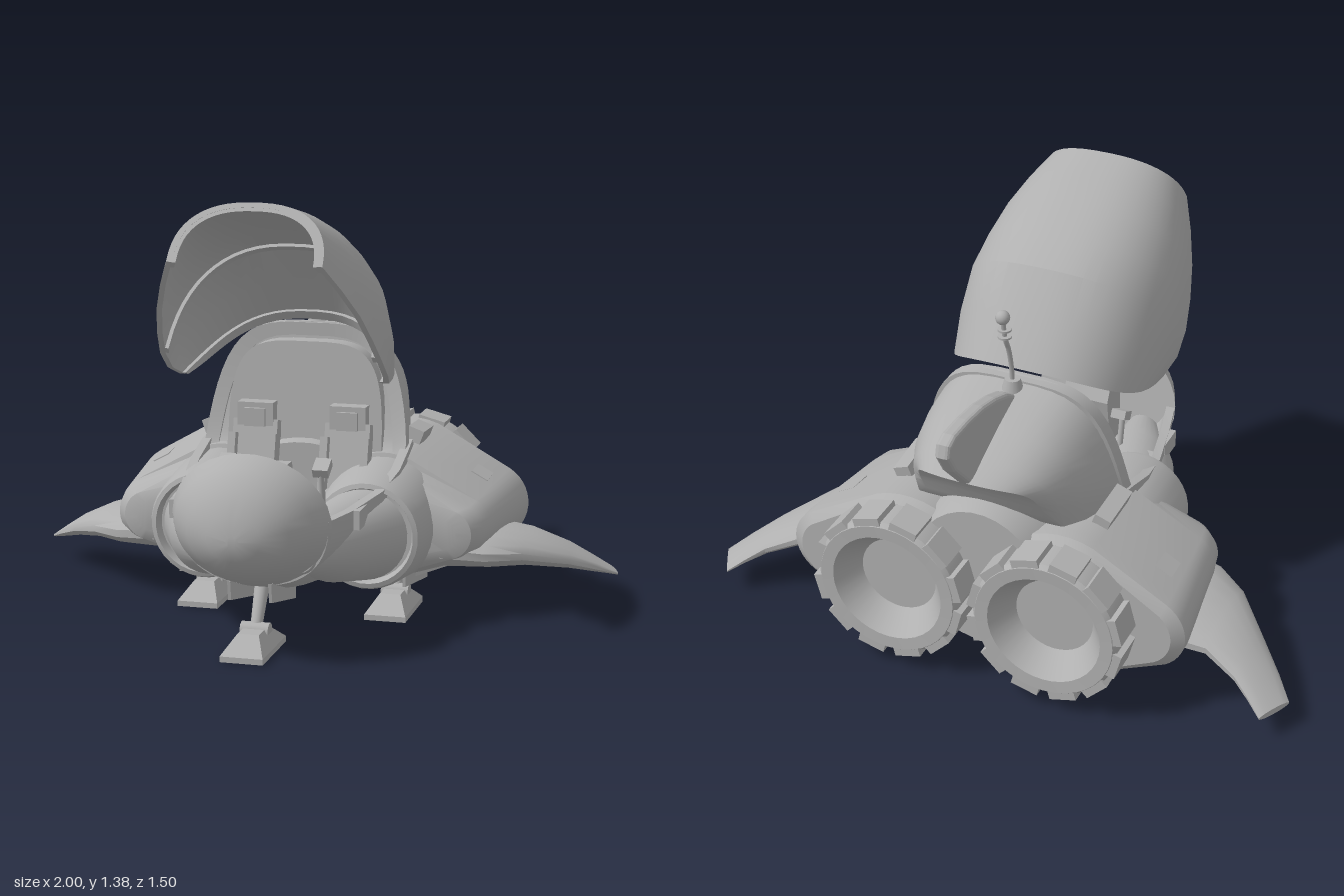
import * as THREE from 'three';
import { toCreasedNormals } from 'three/addons/utils/BufferGeometryUtils.js';

const V = (x, y, z) => new THREE.Vector3(x, y, z);
const lerp = THREE.MathUtils.lerp;
const pow = (v, e) => Math.sign(v) * Math.abs(v) ** e;

// Skin closed loops of points; end caps join point i with its mirror point
function loft(loops, crease = 0.6) {
  const n = loops[0].length, pos = [], idx = [];
  loops.forEach(l => l.forEach(p => pos.push(p.x, p.y, p.z)));
  for (let s = 0; s < loops.length - 1; s++) {
    for (let i = 0; i < n; i++) {
      const a = s * n + i, b = s * n + (i + 1) % n;
      idx.push(a, b, a + n, b, b + n, a + n);
    }
  }
  const last = (loops.length - 1) * n;
  for (let i = 0; i < n / 2 - 1; i++) {
    const j = n - 1 - i;
    idx.push(i, j, i + 1, i + 1, j, j - 1);
    idx.push(last + i, last + i + 1, last + j, last + i + 1, last + j - 1, last + j);
  }
  const g = new THREE.BufferGeometry();
  g.setAttribute('position', new THREE.Float32BufferAttribute(pos, 3));
  g.setIndex(idx);
  return toCreasedNormals(g, crease);
}

// Half-oval from rim to crown and back, sagging by bow; rim and crown are [z, y]
function arch(rim, crown, w, e, bow = 0, n = 28) {
  return Array.from({ length: n }, (_, i) => {
    const t = Math.PI * i / (n - 1), f = pow(Math.max(0, Math.sin(t)), e);
    return V(w * pow(Math.cos(t), e), lerp(rim[1], crown[1], f) - bow * Math.sin(Math.PI * f),
      lerp(rim[0], crown[0], f));
  });
}

// Arch with wall thickness; inner crown is given as [z, y]
const thickArch = (rim, crown, w, inner, e, t, bow = 0) =>
  [...arch(rim, crown, w, e, bow), ...arch(rim, inner, w - t, e, bow).reverse()];

// Oval ring facing z
function ring(cx, cy, z, rx, ry = rx, n = 32) {
  return Array.from({ length: n }, (_, i) => {
    const t = 2 * Math.PI * (i + 0.5) / n;
    return V(cx + rx * Math.cos(t), cy + ry * Math.sin(t), z);
  });
}

// Egg ring wrapped round a big inner circle and a small outer one, on side s
function eggRing(s, z, ra, xb, rb, n = 40) {
  const xa = 0.27, ya = 0.3, yb = 0.285;
  return Array.from({ length: n }, (_, i) => {
    const t = 2 * Math.PI * (i + 0.5) / n, c = Math.cos(t), k = Math.sin(t);
    const outer = (xb - xa) * c + (yb - ya) * k + rb > ra;
    return outer ? V(s * (xb + rb * c), yb + rb * k, z) : V(s * (xa + ra * c), ya + ra * k, z);
  });
}

// Side outline of [z, y] points given thickness along x
function sidePlate(pts, depth, bevel = 0) {
  const shape = new THREE.Shape(pts.map(p => new THREE.Vector2(p[0], p[1])));
  const g = new THREE.ExtrudeGeometry(shape, {
    depth, bevelEnabled: bevel > 0, bevelSize: bevel, bevelThickness: bevel, bevelSegments: 3
  });
  g.translate(0, 0, -depth / 2);
  return g.rotateY(-Math.PI / 2);
}

function rod(a, b, r1, r2 = r1) {
  const d = b.clone().sub(a), g = new THREE.CylinderGeometry(r2, r1, d.length(), 14);
  g.applyQuaternion(new THREE.Quaternion().setFromUnitVectors(V(0, 1, 0), d.normalize()));
  const m = a.clone().add(b).multiplyScalar(0.5);
  return g.translate(m.x, m.y, m.z);
}

const box = (w, h, d, x, y, z, rx = 0, rz = 0) =>
  new THREE.BoxGeometry(w, h, d).rotateX(rx).rotateZ(rz).translate(x, y, z);

export function createModel() {
  const model = new THREE.Group();
  model.name = 'spaceship';
  const grey = new THREE.MeshStandardMaterial({ color: 0xb0b0b0, side: THREE.DoubleSide });
  grey.name = 'hull grey';
  const add = (name, geo, parent = model) => {
    const m = new THREE.Mesh(geo, grey);
    m.name = name;
    parent.add(m);
  };

  // Nose: slanted rings [zTop, yTop, zBottom, yBottom, half width]
  add('nose', loft([
    [0.75, 0.415, 0.75, 0.385, 0.02], [0.738, 0.475, 0.735, 0.335, 0.085],
    [0.705, 0.55, 0.685, 0.28, 0.16], [0.65, 0.605, 0.6, 0.235, 0.218],
    [0.59, 0.635, 0.49, 0.197, 0.252]
  ].map(([zt, yt, zb, yb, w]) => ring(0, 0, 0, 1, 1).map(p =>
    V(p.x * w, lerp(yb, yt, (p.y + 1) / 2), lerp(zb, zt, (p.y + 1) / 2))))));

  // Open cockpit tub: [zRim, yRim, zKeel, yKeel, half width]
  add('cockpitTub', loft([
    [0.56, 0.432, 0.515, 0.208, 0.245], [0.4, 0.434, 0.4, 0.17, 0.285], [0.2, 0.452, 0.2, 0.142, 0.33],
    [0.05, 0.49, 0.05, 0.13, 0.35], [-0.08, 0.53, -0.08, 0.12, 0.35], [-0.2, 0.55, -0.2, 0.11, 0.34]
  ].map(([zr, yr, zk, yk, w]) => thickArch([zr, yr], [zk, yk], w, [zk, 0.31], 0.85, 0.03))));

  // Central body between the engines
  add('centreBody', loft([
    ring(0, 0.34, -0.05, 0.27, 0.2), ring(0, 0.35, -0.25, 0.28, 0.26),
    ring(0, 0.35, -0.44, 0.25, 0.27), ring(0, 0.35, -0.51, 0.22, 0.245)]));

  // Rear hump with overhanging tail: [zRim, yRim, zCrown, yCrown, half width, sag, squareness]
  add('rearHump', loft([
    [-0.05, 0.49, -0.185, 0.92, 0.335, 0.125, 0.55], [-0.19, 0.5, -0.3, 0.89, 0.325, 0.07, 0.58],
    [-0.33, 0.52, -0.41, 0.855, 0.293, 0.02, 0.62], [-0.41, 0.55, -0.52, 0.81, 0.25, -0.01, 0.68],
    [-0.45, 0.6, -0.605, 0.77, 0.205, -0.03, 0.8]
  ].map(([zr, yr, zc, yc, w, sag, e]) => arch([zr, yr], [zc, yc], w, e, sag))));
  add('bulkhead', loft([[-0.07, -0.11], [-0.18, -0.2]].map(([a, b]) =>
    arch([a, 0.45], [b, 0.865], 0.26, 0.5))));
  add('cockpitArch', loft([-0.025, -0.075].map(z =>
    thickArch([z, 0.46], [z - 0.145, 0.918], 0.342, [z - 0.145, 0.875], 0.52, 0.045, 0.115))));
  add('tailFin', sidePlate([[-0.27, 0.885], [-0.33, 0.92], [-0.41, 0.95], [-0.5, 0.972], [-0.6, 0.983],
    [-0.69, 0.984], [-0.722, 0.972], [-0.73, 0.945], [-0.69, 0.88], [-0.6, 0.785], [-0.4, 0.8]], 0.022, 0.014));

  // Raised canopy: [zRim, yRim, zCrown, yCrown, half width, sag]
  const canopy = new THREE.Group();
  canopy.name = 'canopy';
  model.add(canopy);
  const hoops = [
    [0.615, 1.21, 0.49, 1.38, 0.24, 0], [0.545, 1.13, 0.37, 1.355, 0.283, 0], [0.47, 1.045, 0.25, 1.318, 0.32, 0],
    [0.4, 0.96, 0.12, 1.265, 0.343, 0], [0.33, 0.883, 0, 1.2, 0.357, 0],
    [0.255, 0.825, -0.1, 1.07, 0.358, 0.015], [0.18, 0.792, -0.192, 0.94, 0.342, 0.04]];
  const inward = (zr, yr, zc, yc, t) => {
    const d = Math.hypot(zc - zr, yc - yr);
    return [lerp(zc, zr, t / d), lerp(yc, yr, t / d)];
  };
  const hoop = ([zr, yr, zc, yc, w, sag], gap, wall) => thickArch([zr, yr],
    inward(zr, yr, zc, yc, gap), w - gap, inward(zr, yr, zc, yc, gap + wall), 0.82, wall, sag);
  add('canopyShell', loft(hoops.map(h => hoop(h, 0, 0.018)), 0.4), canopy);
  // Inner ribs at the front, middle and rear, each spanning part of a shell segment
  [[0, 1], [4, 3], [6, 5]].forEach(([from, to]) => {
    const part = f => hoops[from].map((v, i) => lerp(v, hoops[to][i], f));
    add('canopyRib', loft([part(0.02), part(0.24)].map(h => hoop(h, 0.012, 0.018))), canopy);
  });

  // Antenna
  const mast = new THREE.CatmullRomCurve3([V(0, 0.9, -0.24), V(0, 0.98, -0.248), V(0, 1.06, -0.27),
    V(0, 1.1, -0.29), V(0, 1.18, -0.308)]);
  add('antennaMast', new THREE.TubeGeometry(mast, 16, 0.008, 8));
  add('antennaBase', new THREE.CylinderGeometry(0.025, 0.038, 0.05, 16).translate(0, 0.91, -0.24));
  add('antennaBall', new THREE.SphereGeometry(0.023, 16, 12).translate(0, 1.188, -0.308));
  [1.115, 1.14].forEach(y => add('antennaDisc',
    new THREE.CylinderGeometry(0.022, 0.022, 0.006, 16).translate(0, y, -0.295)));

  // Dashboard in front of the seats
  add('dashboard', sidePlate([[0.47, 0.32], [0.46, 0.53], [0.43, 0.57], [0.37, 0.57], [0.345, 0.52],
    [0.38, 0.32]], 0.16));

  const landingFoot = (x, z) => {
    const pad = (y, w, d) => [V(x - w, y, z - d), V(x - w, y, z + d), V(x + w, y, z + d), V(x + w, y, z - d)];
    add('landingPad', loft([pad(0, 0.068, 0.132), pad(0.018, 0.068, 0.132), pad(0.07, 0.034, 0.055)], 0.1));
    add('ankle', rod(V(x - 0.045, 0.058, z - 0.03), V(x + 0.045, 0.058, z - 0.03), 0.028));
    add('landingLeg', rod(V(x, 0.06, z - 0.03), V(x, 0.2, z - 0.11), 0.018, 0.024));
  };
  landingFoot(0, 0.528);

  for (const s of [1, -1]) {
    const side = new THREE.Group();
    side.name = s > 0 ? 'leftSide' : 'rightSide';
    model.add(side);
    const put = (name, geo) => add(name, geo, side);
    const ex = s * 0.27, ey = 0.3;

    // Intake fairing, cowl and the casing that joins engine and wing root
    put('intakeFairing', loft([ring(s * 0.14, 0.32, 0.54, 0.06), ring(s * 0.2, 0.31, 0.36, 0.12),
      ring(ex - s * 0.015, ey, 0.17, 0.148)]));
    put('cowl', loft([[0.16, 0.145], [0.19, 0.155], [0.185, 0.17], [0.165, 0.178], [-0.06, 0.205],
      [-0.1, 0.205]].map(([z, r]) => ring(ex, ey, z, r))));
    // [z, engine radius, outer centre x, outer radius]
    put('engineCasing', loft([[0.055, 0.08, 0.485, 0.05], [0.042, 0.13, 0.5, 0.082], [0, 0.18, 0.515, 0.1],
      [-0.06, 0.2, 0.52, 0.108], [-0.066, 0.218, 0.521, 0.109], [-0.42, 0.257, 0.545, 0.135],
      [-0.465, 0.26, 0.545, 0.135], [-0.492, 0.238, 0.53, 0.112]
    ].map(([z, ra, xb, rb]) => eggRing(s, z, ra, xb, rb))));

    // Exhaust ring with recessed nozzle and blocks
    const nozzle = [[0, -0.53], [0.13, -0.53], [0.19, -0.618], [0.232, -0.62], [0.244, -0.605],
      [0.244, -0.5], [0.2, -0.47]].map(p => new THREE.Vector2(...p));
    put('exhaust', toCreasedNormals(new THREE.LatheGeometry(nozzle, 36)
      .rotateX(Math.PI / 2).translate(ex, ey, 0), 0.5));
    for (let i = 0; i < 12; i++) {
      const a = Math.PI * (i + 0.5) / 6;
      put('exhaustBlock', new THREE.BoxGeometry(0.04, 0.092, 0.115).translate(0.238, 0, 0)
        .rotateZ(a).translate(ex, ey, -0.5605));
    }

    // Drooping wing: [xFront, xBack, zFront, zBack, y, half thickness]
    put('wing', loft([
      [0.48, 0.48, 0.05, -0.4, 0.22, 0.075], [0.62, 0.62, 0.025, -0.4, 0.21, 0.062],
      [0.73, 0.72, -0.06, -0.39, 0.2, 0.052], [0.86, 0.83, -0.215, -0.425, 0.153, 0.037],
      [0.94, 0.89, -0.305, -0.46, 0.115, 0.024], [1, 0.94, -0.38, -0.495, 0.082, 0.011]
    ].map(([xf, xb, zf, zb, y, t]) => ring(0, 0, 0, 1, 1, 16).map(p => {
      const f = (1 - p.x) / 2;
      return V(s * lerp(xf, xb, f), y + t * p.y, lerp(zf, zb, f));
    })), 0.8));

    // Raised panels
    put('topPanel', box(0.055, 0.045, 0.17, s * 0.345, 0.553, -0.255, -0.07, -s * 0.35));
    put('podPanel', box(0.06, 0.025, 0.09, s * 0.548, 0.41, -0.295, 0.08, -s * 0.5));
    put('hullPanel', box(0.02, 0.06, 0.1, s * 0.296, 0.405, 0.36));

    // Seat, control stick
    put('seatBase', box(0.16, 0.07, 0.18, s * 0.155, 0.37, 0.07));
    put('seatBack', box(0.15, 0.26, 0.05, s * 0.155, 0.48, -0.035, -0.25));
    put('headrest', box(0.12, 0.085, 0.055, s * 0.155, 0.625, -0.065));
    put('headrestPad', box(0.07, 0.06, 0.02, s * 0.155, 0.62, -0.035));
    [-1, 1].forEach(k => put('seatBolster', box(0.025, 0.22, 0.06, s * 0.155 + k * 0.068, 0.46, 0.0, -0.25)));
    put('controlStick', rod(V(s * 0.155, 0.32, 0.26), V(s * 0.155, 0.53, 0.3), 0.01));
    put('stickGrip', box(0.05, 0.03, 0.06, s * 0.155, 0.535, 0.285, 0.5));
    put('sideConsole', box(0.05, 0.1, 0.22, s * 0.275, 0.385, 0.15));

    // Landing gear and bay doors
    landingFoot(s * 0.315, -0.032);
    const noseDoor = [[0.57, 0.23], [0.56, 0.168], [0.285, 0.11], [0.28, 0.18]];
    put('noseGearDoor', sidePlate(noseDoor, 0.01).translate(s * 0.065, 0, 0));
    const rearDoor = [[0.09, 0.17], [0.085, 0.115], [-0.25, 0.062], [-0.25, 0.13]];
    [0.255, 0.375].forEach(x => put('rearGearDoor', sidePlate(rearDoor, 0.01).translate(s * x, 0, 0)));
  }
  return model;
}
